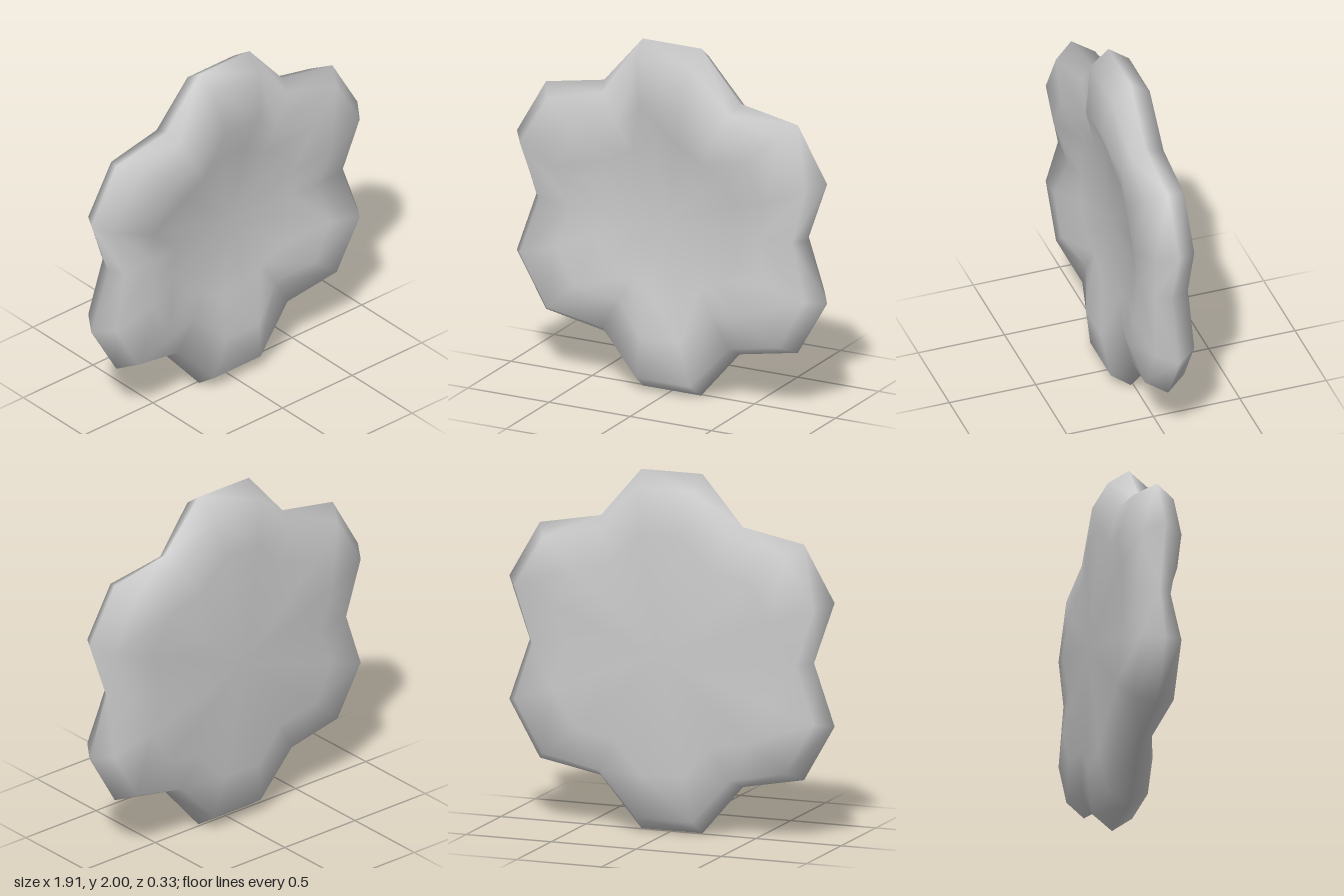
import * as THREE from 'three';

// Cross-section rings from back to front:
// [petal tip radius, petal tip z, notch radius, notch z]
const RINGS = [
  [0.68, -0.14, 0.57, -0.125],
  [0.934, -0.10, 0.775, -0.10],
  [1.016, 0.015, 0.835, 0.015],
  [0.934, 0.125, 0.78, 0.09],
  [0.68, 0.165, 0.575, 0.105],
  [0.46, 0.09, 0.42, 0.085],
];
const PETALS = 6;
const BACK_Z = -0.165;
const FRONT_Z = 0.07;

function createDishGeometry() {
  const n = PETALS * 3;
  const positions = [];
  const index = [];

  // Each petal gives two tips and one notch to every ring
  for (const [tipR, tipZ, notchR, notchZ] of RINGS) {
    for (let p = 0; p < PETALS; p++) {
      const axis = Math.PI / 2 + (p * Math.PI * 2) / PETALS;
      for (const [deg, r, z] of [[-10.2, tipR, tipZ], [10.2, tipR, tipZ], [30, notchR, notchZ]]) {
        const a = axis + THREE.MathUtils.degToRad(deg);
        positions.push(Math.cos(a) * r, Math.sin(a) * r, z);
      }
    }
  }
  const back = positions.length / 3;
  const front = back + 1;
  positions.push(0, 0, BACK_Z, 0, 0, FRONT_Z);

  // Bands between the rings, closed by a fan on each side
  const last = (RINGS.length - 1) * n;
  for (let j = 0; j < n; j++) {
    const k = (j + 1) % n;
    for (let i = 0; i < RINGS.length - 1; i++) {
      const a = i * n + j, b = i * n + k, c = b + n, d = a + n;
      // Diagonals mirror across each petal
      if (j % 3 === 1) index.push(a, b, c, a, c, d);
      else index.push(a, b, d, b, c, d);
    }
    index.push(back, k, j, front, last + j, last + k);
  }

  const geometry = new THREE.BufferGeometry();
  geometry.setAttribute('position', new THREE.Float32BufferAttribute(positions, 3));
  geometry.setIndex(index);
  geometry.computeVertexNormals();
  return geometry;
}

export function createModel() {
  const group = new THREE.Group();
  group.name = 'flowerDish';
  const dish = new THREE.Mesh(
    createDishGeometry(),
    new THREE.MeshStandardMaterial({ color: 0xcccccc })
  );
  dish.name = 'petalledDish';
  dish.position.y = 1;
  group.add(dish);
  return group;
}
